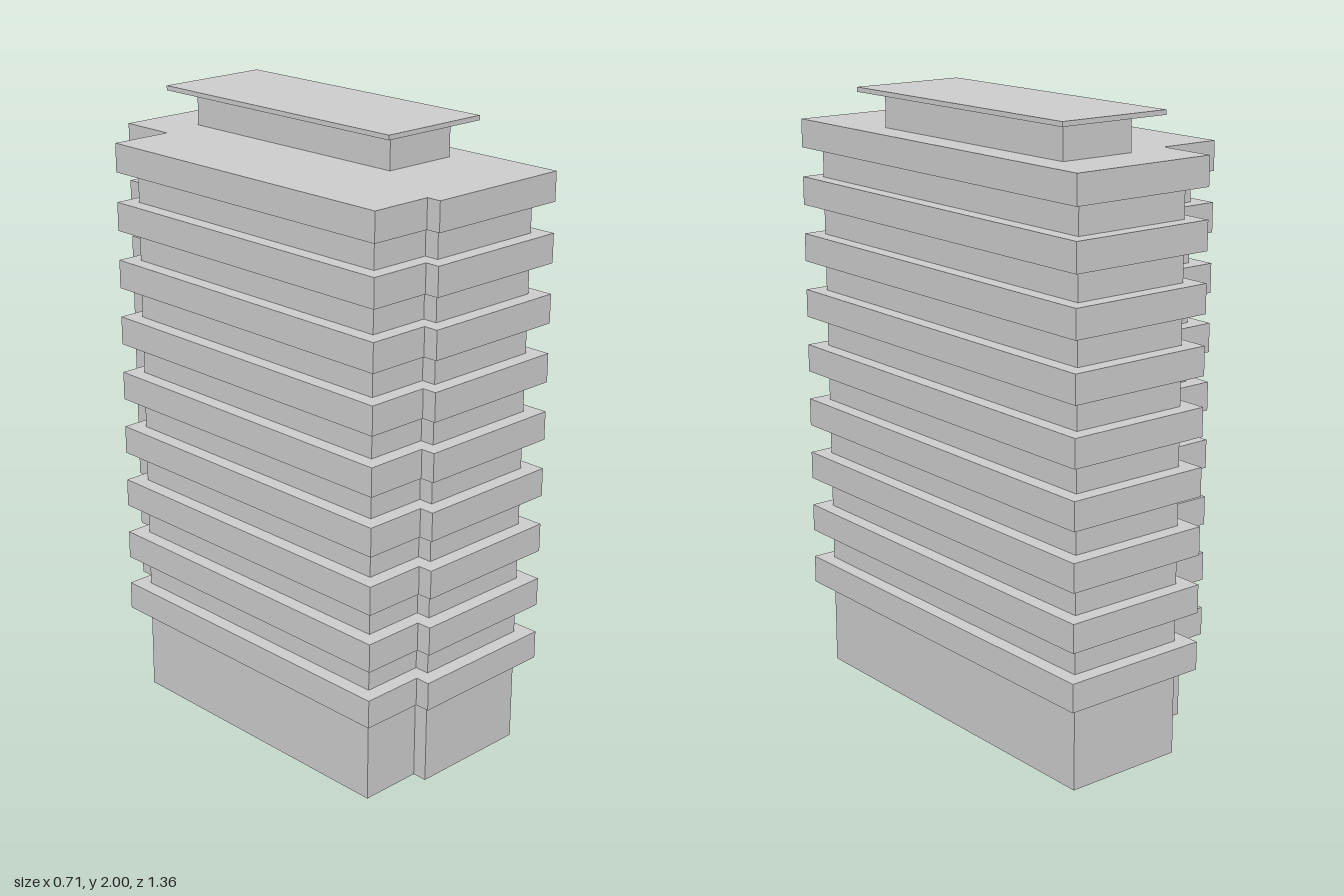
import * as THREE from 'three';

const material = new THREE.MeshStandardMaterial({ color: 0xcccccc, flatShading: true });

// Stepped floor plan, shrunk by an inset and extruded upwards from y0 to y1
function storey(name, inset, y0, y1) {
  const x0 = -0.354 + inset, x1 = 0.352 - inset, step = -0.147 + inset;
  const back = -0.682 + inset, front = 0.68 - inset;
  const wingBack = -0.49 + inset, wingFront = 0.632 - inset;
  // Shape y becomes -z once laid flat
  const plan = [
    [x0, wingFront], [step, wingFront], [step, front], [x1, front],
    [x1, back], [step, back], [step, wingBack], [x0, wingBack],
  ].map(([x, z]) => new THREE.Vector2(x, -z));
  const geometry = new THREE.ExtrudeGeometry(new THREE.Shape(plan), {
    depth: y1 - y0, bevelEnabled: false,
  });
  geometry.rotateX(-Math.PI / 2).translate(0, y0, 0);
  const mesh = new THREE.Mesh(geometry, material);
  mesh.name = name;
  return mesh;
}

// Box given by its limits on each axis
function block(name, [x0, x1], [y0, y1], [z0, z1]) {
  const mesh = new THREE.Mesh(new THREE.BoxGeometry(x1 - x0, y1 - y0, z1 - z0), material);
  mesh.position.set((x0 + x1) / 2, (y0 + y1) / 2, (z0 + z1) / 2);
  mesh.name = name;
  return mesh;
}

export function createModel() {
  const tower = new THREE.Group();
  tower.name = 'tower';

  // Recessed walls, ground floor to just inside the top band
  tower.add(storey('walls', 0.048, 0, 1.83));

  // Projecting balcony bands, the last one forming the main roof
  const bands = new THREE.Group();
  bands.name = 'balconyBands';
  const pitch = 0.1873, bandHeight = 0.092;
  for (let i = 0; i < 9; i++) {
    const y = 0.284 + i * pitch;
    bands.add(storey(`balconyBand${i + 1}`, 0, y, y + bandHeight));
  }
  tower.add(bands);

  // Rooftop penthouse with an overhanging slab
  tower.add(block('penthouse', [0, 0.257], [1.87, 1.987], [-0.51, 0.345]));
  tower.add(block('penthouseRoof', [-0.067, 0.321], [1.985, 2], [-0.582, 0.404]));

  return tower;
}
